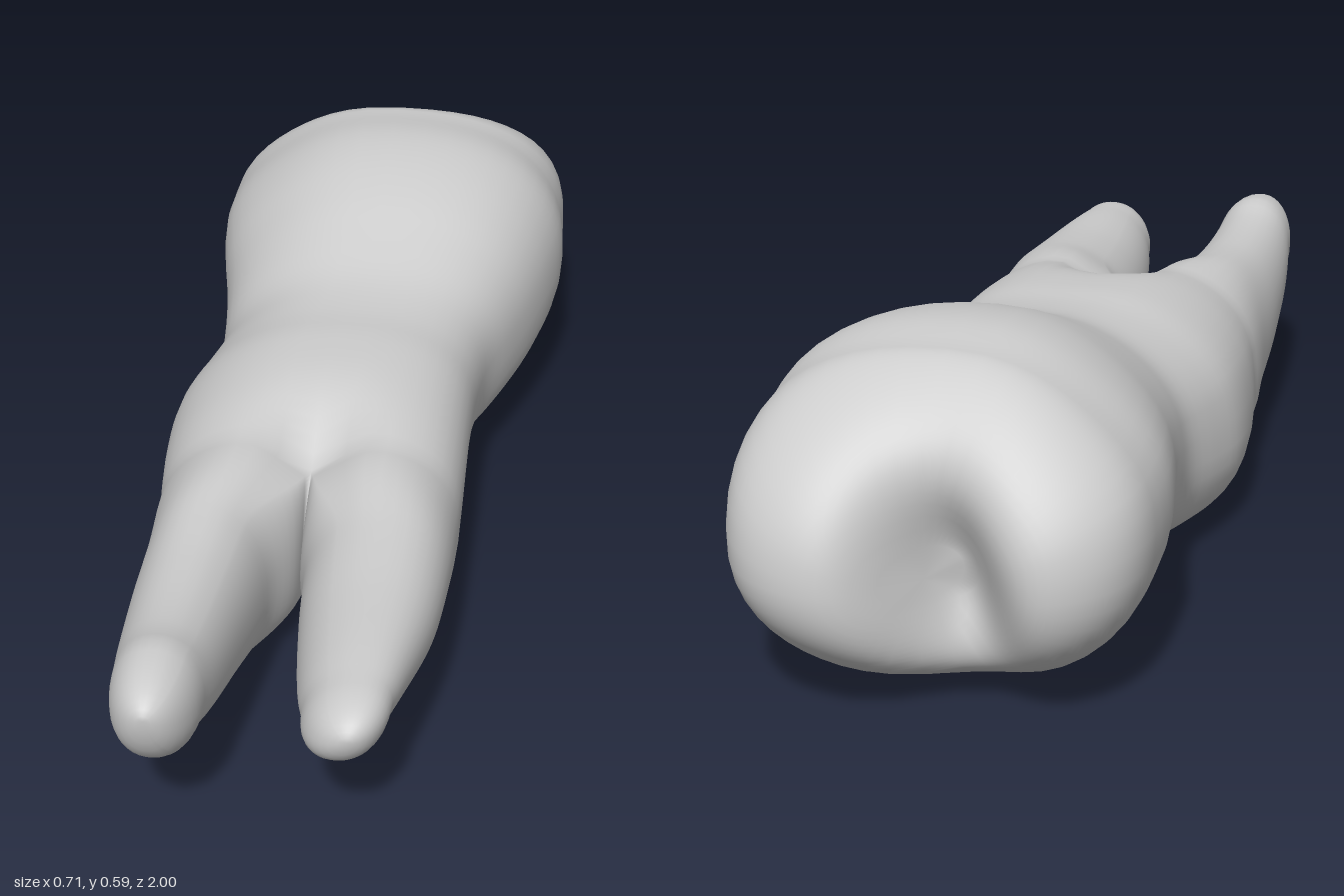
import * as THREE from 'three';

const N = 48, HALF = N / 2; // points around every cross-section

// Smooth interpolation of section tables; the first column is z
function table(rows) {
  const size = rows[0].length - 1;
  const f = new THREE.CubicInterpolant(rows.map(r => r[0]), rows.flatMap(r => r.slice(1)), size, new Float32Array(size));
  return z => Array.from(f.evaluate(z));
}

// z, xMin, xMax, yMin, yMax, skew, pinch, upper right cut, lower left cut, roundness
const trunkAt = table([
  [-0.7, -0.355, 0.35, 0.03, 0.575, 0, 0, 0.09, 0.02, 0.83],
  [-0.6, -0.352, 0.356, 0.03, 0.587, 0, 0, 0.09, 0.02, 0.83],
  [-0.5, -0.335, 0.34, 0.025, 0.577, 0, 0, 0.08, 0.02, 0.83],
  [-0.4, -0.315, 0.312, 0.02, 0.55, 0.02, 0, 0.07, 0.02, 0.83],
  [-0.3, -0.303, 0.275, 0.018, 0.51, 0.05, 0, 0.06, 0.03, 0.81],
  [-0.2, -0.3, 0.235, 0.012, 0.475, 0.1, 0, 0.06, 0.05, 0.78],
  [-0.1, -0.325, 0.22, 0.006, 0.463, 0.12, 0, 0.06, 0.06, 0.76],
  [0, -0.348, 0.218, 0.002, 0.466, 0.12, 0.01, 0.06, 0.08, 0.75],
  [0.15, -0.345, 0.222, -0.006, 0.456, 0.09, 0.07, 0.04, 0.11, 0.75],
  [0.28, -0.328, 0.225, 0, 0.434, 0.06, 0.38, 0.02, 0.13, 0.75],
]);
// z, xMin, xMax, yMin, yMax, skew
const roots = [
  { name: 'leftRoot', start: 0, tip: [0.11, 0.32, 0.97], capZ: 0.86, at: table([
    [0.28, -0.06, 0.225, 0.04, 0.435, 0.05],
    [0.4, -0.04, 0.225, 0.075, 0.41, 0.1],
    [0.6, -0.02, 0.215, 0.135, 0.385, 0.15],
    [0.8, 0.01, 0.18, 0.2, 0.375, 0.25],
    [0.86, 0.025, 0.168, 0.225, 0.37, 0.28],
  ]) },
  { name: 'rightRoot', start: HALF, tip: [-0.21, 0.355, 1], capZ: 0.86, at: table([
    [0.28, -0.33, -0.06, 0, 0.42, 0],
    [0.4, -0.32, -0.085, 0.015, 0.408, 0],
    [0.6, -0.315, -0.11, 0.09, 0.387, 0],
    [0.8, -0.3, -0.13, 0.17, 0.393, 0],
    [0.86, -0.291, -0.137, 0.2, 0.408, 0],
  ]) },
];

// Squarish oval cross-section, clockwise from its top when seen from +z.
// The first half of the points can be spread over more than half a turn.
function section([x0, x1, y0, y1, skew, pinch = 0, cutUp = 0, cutDown = 0, power = 0.93], z, start = 0, spread = 0) {
  const cx = (x0 + x1) / 2, cy = (y0 + y1) / 2;
  const bend = v => Math.sign(v) * Math.pow(Math.abs(v), power);
  return Array.from({ length: N }, (_, j) => {
    const turn = j < HALF
      ? -spread + (Math.PI + 2 * spread) * j / HALF
      : Math.PI + spread + (Math.PI - 2 * spread) * (j - HALF) / HALF;
    const a = turn + Math.PI * start / HALF;
    const sin = Math.sin(a), cos = Math.cos(a);
    const corner = Math.max(0, -2 * sin * cos) ** 1.5;
    const k = 1 - corner * (cos > 0 ? cutUp : cutDown);
    const dx = k * bend(sin) * (x1 - x0) / 2;
    const dy = k * bend(cos) * (y1 - y0) / 2 * (1 - pinch * Math.exp(-((dx / 0.07) ** 2)));
    return new THREE.Vector3(cx + dx + skew * dy, cy + dy, z);
  });
}

export function createModel() {
  const points = [];
  const add = p => points.push(p) - 1;
  const addRing = ring => ring.map(add);
  const stitch = (index, a, b) => {
    for (let j = 0; j < N; j++) {
      const k = (j + 1) % N;
      if (a[j] !== a[k]) index.push(a[j], b[j], a[k]);
      if (b[j] !== b[k]) index.push(b[j], b[k], a[k]);
    }
  };
  const loft = rings => {
    const index = [];
    for (let i = 1; i < rings.length; i++) stitch(index, rings[i - 1], rings[i]);
    return index;
  };
  const parts = {};

  // Neck and body, from the widest part of the crown to the fork
  const body = [];
  for (let i = 0; i <= 36; i++) {
    const z = -0.7 + 0.98 * i / 36;
    body.push(addRing(section(trunkAt(z), z)));
  }

  // Biting surface: a dome falling off towards the top, with two cusps
  // and a slanting groove that opens towards the bottom
  const rim = body[0].map(i => points[i]);
  const cap = (x, y, h) => {
    const dome = h * (0.295 + 0.11 * x) * (1 - 5.5 * (y - 0.23) ** 2);
    const across = (x + 0.045 - 0.18 * (y - 0.25)) / 0.1, along = (y - 0.23) / 0.18;
    const groove = 0.175 * h * Math.exp(-(across ** 2) - along ** 2);
    return new THREE.Vector3(x, y, -0.7 - dome + groove);
  };
  const crown = [Array(N).fill(add(cap(0, 0.23, 1)))];
  for (let i = 1; i < 26; i++) {
    const u = (i / 26) * Math.PI / 2;
    const s = Math.sin(u) ** (2 / 3), h = Math.cos(u) ** (2 / 3);
    crown.push(addRing(rim.map(p => cap(p.x * s, 0.23 + (p.y - 0.23) * s, h))));
  }
  crown.push(body[0]);
  parts.crown = loft(crown);
  parts.neckAndBody = loft(body);

  // Saddle between the roots, running from the top to the bottom of the fork
  const fork = body[body.length - 1];
  const top = points[fork[0]], bottom = points[fork[HALF]];
  const saddle = [];
  for (let j = 1; j < HALF; j++) {
    const t = j / HALF;
    const p = top.clone().lerp(bottom, (1 - Math.cos(t * Math.PI)) / 2);
    p.z += 0.05 * Math.sin(t * Math.PI);
    saddle.push(add(p));
  }

  // Roots: each starts from half of the fork plus the saddle and tapers to a round tip
  for (const { name, start, tip, capZ, at } of roots) {
    const first = start === 0
      ? [...fork.slice(0, HALF + 1), ...saddle.slice().reverse()]
      : [...fork.slice(HALF), fork[0], ...saddle];
    const rings = [first];
    for (let i = 1; i <= 24; i++) {
      const z = 0.28 + (capZ - 0.28) * i / 24;
      const blend = THREE.MathUtils.smoothstep(i, -1, 8);
      const ring = section(at(z), z, start, 0.65);
      rings.push(addRing(first.map((f, j) => {
        const p = points[f].clone().lerp(ring[j], blend);
        p.z = z + (points[f].z - 0.28) * (1 - blend);
        return p;
      })));
    }
    const last = rings[24].map(i => points[i]);
    const end = new THREE.Vector3(...tip);
    for (let i = 1; i < 9; i++) {
      const u = (i / 9) * Math.PI / 2;
      rings.push(addRing(last.map(p => {
        const q = end.clone().lerp(p, Math.cos(u));
        q.z = capZ + (tip[2] - capZ) * Math.sin(u);
        return q;
      })));
    }
    rings.push(Array(N).fill(add(end)));
    parts[name] = loft(rings);
  }

  // Normals are computed on the whole skin so the parts join without seams
  const skin = new THREE.BufferGeometry().setFromPoints(points);
  skin.setIndex(Object.values(parts).flat());
  skin.computeVertexNormals();

  const material = new THREE.MeshStandardMaterial({ color: 0xcccccc });
  const group = new THREE.Group();
  group.name = 'tooth';
  for (const [name, index] of Object.entries(parts)) {
    const geometry = new THREE.BufferGeometry();
    geometry.setAttribute('position', skin.getAttribute('position'));
    geometry.setAttribute('normal', skin.getAttribute('normal'));
    geometry.setIndex(index);
    const mesh = new THREE.Mesh(geometry, material);
    mesh.name = name;
    group.add(mesh);
  }
  return group;
}
